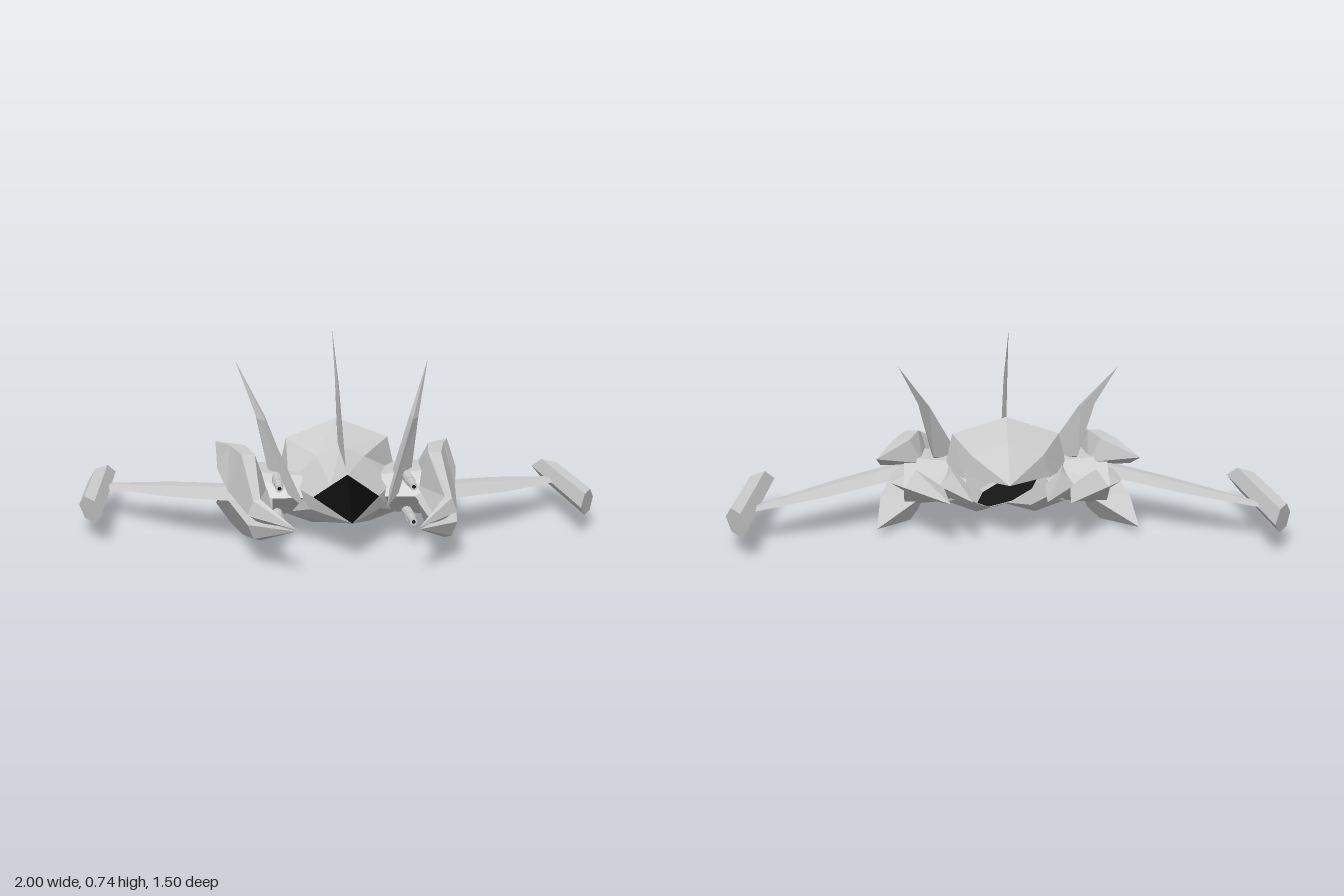
import * as THREE from 'three';

const grey = new THREE.MeshStandardMaterial({ color: 0xcccccc, flatShading: true, side: THREE.DoubleSide });
const black = new THREE.MeshStandardMaterial({ color: 0x0a0a0a, flatShading: true, side: THREE.DoubleSide });

// Faceted skin through equal-length rings of [x, y, z]; both ends are capped, faces point outward.
function loft(rings) {
  const tris = [];
  const n = rings[0].length;
  for (let i = 0; i < rings.length - 1; i++) {
    for (let j = 0; j < n; j++) {
      const k = (j + 1) % n, a = rings[i], b = rings[i + 1];
      tris.push([a[j], a[k], b[k]], [a[j], b[k], b[j]]);
    }
  }
  const last = rings[rings.length - 1];
  for (let j = 1; j < n - 1; j++) {
    tris.push([rings[0][0], rings[0][j + 1], rings[0][j]], [last[0], last[j], last[j + 1]]);
  }
  const v = (p) => new THREE.Vector3(...p);
  const solid = tris.filter(([a, b, c]) => v(b).sub(v(a)).cross(v(c).sub(v(a))).length() > 1e-7);
  const volume = solid.reduce((s, [a, b, c]) => s + v(a).dot(v(b).cross(v(c))), 0);
  const flat = solid.flatMap((t) => (volume < 0 ? [t[0], t[2], t[1]] : t)).flat();
  const g = new THREE.BufferGeometry();
  g.setAttribute('position', new THREE.Float32BufferAttribute(flat, 3));
  g.computeVertexNormals();
  return g;
}

// Ring at depth z from [x, y] points
const ringZ = (z, pts) => pts.map(([x, y]) => [x, y, z]);
const point = (p, n) => Array(n).fill(p);
// Complete a half section (top centre to bottom centre) across x = 0
const both = (half) => [...half, ...half.slice(1, -1).reverse().map(([x, y, z]) => [-x, y, z])];
const flipX = (rings) => rings.map((r) => r.map(([x, y, z]) => [-x, y, z]));
const flipY = (rings) => rings.map((r) => r.map(([x, y, z]) => [x, 0.314 - y, z]));

export function createModel() {
  const model = new THREE.Group();
  const add = (name, geometry, material = grey) => {
    const mesh = new THREE.Mesh(geometry, material);
    mesh.name = name;
    model.add(mesh);
    return mesh;
  };
  const pair = (name, rings) => {
    add(name + 'Left', loft(rings));
    add(name + 'Right', loft(flipX(rings)));
  };

  // Upper hull, rising to a dome and tapering to a rear point
  add('upperHull', loft([
    both([[0, 0.27, 0.33], [0.06, 0.225, 0.305], [0.12, 0.18, 0.28], [0, 0.15, 0.28]]),
    both([[0, 0.33, 0.03], [0.09, 0.29, 0.03], [0.2, 0.19, 0.03], [0, 0.15, 0.03]]),
    both([[0, 0.405, -0.21], [0.2, 0.335, -0.16], [0.23, 0.2, -0.16], [0, 0.16, -0.16]]),
    both([[0, 0.335, -0.35], [0.13, 0.28, -0.33], [0.16, 0.2, -0.31], [0, 0.18, -0.31]]),
    point([0, 0.205, -0.525], 6),
  ]));

  // Lower hull with two chines either side of a raised keel
  add('lowerHull', loft([
    point([0, 0.13, 0.52], 8),
    both([[0, 0.17, 0.28], [0.12, 0.18, 0.28], [0.13, 0.13, 0.25], [0.07, 0.08, 0.25], [0, 0.1, 0.25]]),
    both([[0, 0.19, 0], [0.2, 0.19, 0], [0.22, 0.07, 0], [0.11, 0.03, 0], [0, 0.065, 0]]),
    both([[0, 0.2, -0.2], [0.23, 0.2, -0.17], [0.22, 0.08, -0.17], [0.11, 0.04, -0.17], [0, 0.07, -0.17]]),
    both([[0, 0.2, -0.25], [0.16, 0.19, -0.25], [0.15, 0.11, -0.25], [0.09, 0.08, -0.25], [0, 0.09, -0.25]]),
  ]));

  // Dark canopy on the nose
  add('canopy', loft([
    [[0, 0.272, 0.332], [0.122, 0.181, 0.28], [0, 0.15, 0.28], [-0.122, 0.181, 0.28]],
    point([0, 0.131, 0.525], 4),
  ]), black);

  // Flattened octagonal exhaust with a dark outlet
  const nozzle = add('exhaustRing', new THREE.CylinderGeometry(0.12, 0.14, 0.09, 8, 1, true));
  const outlet = add('exhaustOutlet', new THREE.CircleGeometry(0.122, 8), black);
  nozzle.rotation.set(-Math.PI / 2, Math.PI / 8, 0);
  nozzle.scale.z = 0.36;
  nozzle.position.set(0, 0.145, -0.26);
  outlet.rotation.set(0, Math.PI, Math.PI / 8);
  outlet.scale.y = 0.36;
  outlet.position.set(0, 0.145, -0.29);

  // Thin swept dorsal fin
  add('dorsalFin', loft([
    [[0, 0.28, 0.26], [0.009, 0.3, 0.02], [0, 0.38, -0.16], [-0.009, 0.3, 0.02]],
    [[0, 0.52, -0.05], [0.007, 0.54, -0.14], [0, 0.58, -0.26], [-0.007, 0.54, -0.14]],
    point([0, 0.745, -0.405], 4),
  ]));

  // Splayed side fins
  pair('sideFin', [
    [[0.15, 0.14, 0.29], [0.27, 0.2, 0.02], [0.27, 0.25, -0.17], [0.2, 0.22, 0.0]],
    [[0.285, 0.42, -0.03], [0.315, 0.42, -0.1], [0.325, 0.46, -0.25], [0.285, 0.43, -0.12]],
    point([0.392, 0.615, -0.405], 4),
  ]);

  // Upper and lower shells of the forward prongs
  const shell = [
    point([0.21, 0.16, 0.75], 4),
    ringZ(0.56, [[0.37, 0.175], [0.35, 0.225], [0.325, 0.23], [0.28, 0.175]]),
    ringZ(0.08, [[0.435, 0.175], [0.38, 0.31], [0.33, 0.31], [0.285, 0.185]]),
    ringZ(-0.14, [[0.47, 0.215], [0.42, 0.31], [0.36, 0.31], [0.31, 0.22]]),
    point([0.475, 0.285, -0.415], 4),
  ];
  pair('upperProng', shell);
  pair('lowerProng', flipY(shell));

  // Flat core blade between the shells, ending in a rear spike
  pair('coreBlade', [
    point([0.24, 0.157, 0.69], 4),
    ringZ(0.5, [[0.36, 0.157], [0.33, 0.18], [0.28, 0.157], [0.33, 0.134]]),
    ringZ(-0.05, [[0.45, 0.157], [0.37, 0.2], [0.26, 0.157], [0.37, 0.114]]),
    ringZ(-0.2, [[0.43, 0.157], [0.34, 0.21], [0.24, 0.157], [0.34, 0.104]]),
    point([0.21, 0.157, -0.605], 4),
  ]);

  // Inner tail spikes beside the exhaust
  pair('tailSpike', [
    ringZ(-0.1, [[0.27, 0.16], [0.22, 0.23], [0.18, 0.16], [0.22, 0.09]]),
    ringZ(-0.28, [[0.25, 0.16], [0.2, 0.21], [0.14, 0.16], [0.2, 0.11]]),
    point([0.13, 0.157, -0.58], 4),
  ]);

  // Pylons joining hull and prongs
  const pylonSection = (x, t) => [[x, 0.157, 0.17], [x, 0.157 + t, 0.08], [x, 0.157 + t, -0.16],
    [x, 0.157, -0.3], [x, 0.157 - t, -0.16], [x, 0.157 - t, 0.08]];
  pair('pylon', [pylonSection(0.15, 0.07), pylonSection(0.38, 0.09)]);

  // Swept wings with a thin diamond section
  const wingSection = (x, y, front, back, t) => {
    const mid = (front + back) / 2;
    return [[x, y, front], [x, y + t, mid], [x, y, back], [x, y - t, mid]];
  };
  pair('wing', [
    wingSection(0.34, 0.165, 0.28, -0.08, 0.02),
    wingSection(0.46, 0.155, 0.18, -0.18, 0.017),
    wingSection(0.65, 0.135, -0.01, -0.335, 0.013),
    wingSection(0.92, 0.108, -0.35, -0.48, 0.005),
  ]);

  // Hexagonal wingtip pods with points on the inner side
  const hex = [[0.9, 0.106], [0.93, 0.147], [0.975, 0.147], [1, 0.106], [0.975, 0.065], [0.93, 0.065]];
  const podRing = (tip, dir) => hex.map(([x, y]) => [x, y, tip - dir * (x - 0.9) * 2.25]);
  pair('wingtipPod', [
    point([0.9, 0.106, 0.19], 6), podRing(0.19, 1), podRing(-0.755, -1), point([0.9, 0.106, -0.755], 6),
  ]);

  // Four guns with dark bores
  for (const x of [-0.247, 0.247]) {
    for (const y of [0.22, 0.088]) {
      const gun = new THREE.Group();
      gun.name = 'gun';
      gun.position.set(x, y, 0);
      const part = (name, r0, r1, from, to, material = grey) => {
        const mesh = new THREE.Mesh(new THREE.CylinderGeometry(r0, r1, to - from, 10), material);
        mesh.name = name;
        mesh.rotation.x = Math.PI / 2;
        mesh.position.z = (from + to) / 2;
        gun.add(mesh);
      };
      part('gunBody', 0.02, 0.02, -0.05, 0.21);
      part('gunBarrel', 0.014, 0.016, 0.21, 0.31);
      part('gunBore', 0.007, 0.007, 0.3, 0.312, black);
      model.add(gun);
    }
  }
  return model;
}
